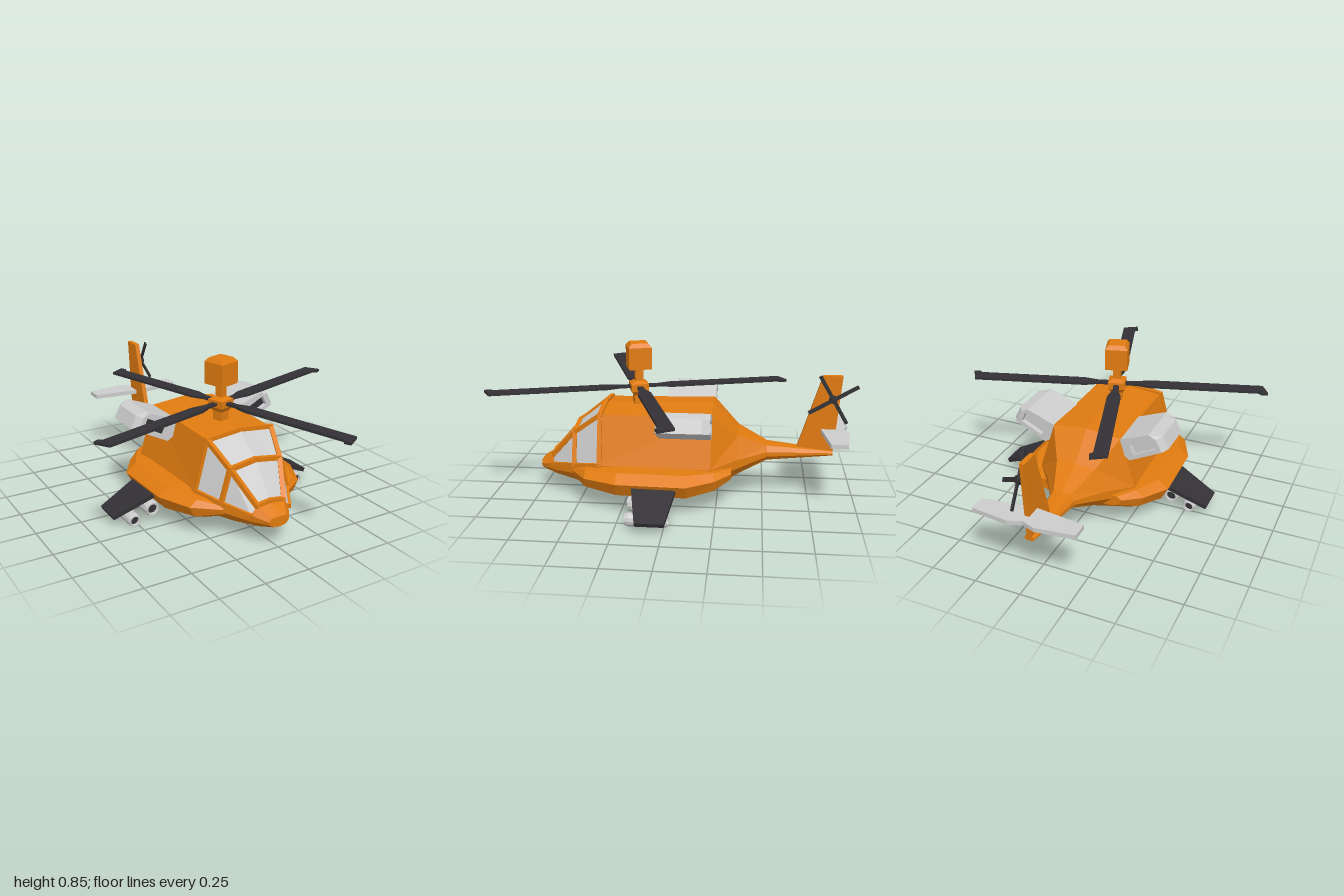
import * as THREE from 'three';

const mat = (color) => new THREE.MeshStandardMaterial({ color, flatShading: true });
const ORANGE = mat(0xe07b10), DARK = mat(0x333135), GREY = mat(0xcccccc);

function add(parent, name, geometry, material, x = 0, y = 0, z = 0) {
  const mesh = new THREE.Mesh(geometry, material);
  mesh.name = name;
  mesh.position.set(x, y, z);
  parent.add(mesh);
  return mesh;
}

// Skin between rings (front to back, each anticlockwise seen from +z); keep() picks the panels.
function loft(rings, keep = () => true, caps = true) {
  const pos = [], n = rings[0].length;
  const tri = (...pts) => pts.forEach((p) => pos.push(...p));
  for (let i = 0; i < rings.length - 1; i++) {
    for (let j = 0; j < n; j++) {
      if (!keep(i, j)) continue;
      const k = (j + 1) % n;
      const a = rings[i][j], b = rings[i][k], c = rings[i + 1][k], d = rings[i + 1][j];
      if (j < n / 2) { tri(a, d, c); tri(a, c, b); } else { tri(a, d, b); tri(d, c, b); }
    }
  }
  if (caps) {
    const f = rings[0], r = rings[rings.length - 1];
    for (let j = 1; j < n - 1; j++) { tri(f[0], f[j], f[j + 1]); tri(r[0], r[j + 1], r[j]); }
  }
  const g = new THREE.BufferGeometry();
  g.setAttribute('position', new THREE.Float32BufferAttribute(pos, 3));
  g.computeVertexNormals();
  return g;
}

const shape = (pts) => new THREE.Shape(pts.map(([x, y]) => new THREE.Vector2(x, y)));
const slab = (pts, depth) =>
  new THREE.ExtrudeGeometry(shape(pts), { depth, bevelEnabled: false }).translate(0, 0, -depth / 2);

// Square bar between two points
function bar(parent, name, a, b, width, material) {
  const p = new THREE.Vector3(...a), q = new THREE.Vector3(...b);
  const mesh = add(parent, name, new THREE.BoxGeometry(width, width, p.distanceTo(q) + width * 0.6), material);
  mesh.position.copy(p).lerp(q, 0.5);
  mesh.lookAt(q);
}

// Fuselage: half sections from belly to roof, [z, [x, y]...]
const SECTIONS = [
  [0.75, [0, 0.115], [0.035, 0.12], [0.055, 0.135], [0.06, 0.15], [0.045, 0.17], [0, 0.172]],
  [0.67, [0, 0.09], [0.07, 0.1], [0.11, 0.135], [0.115, 0.17], [0.08, 0.215], [0, 0.225]],
  [0.53, [0, 0.065], [0.12, 0.08], [0.2, 0.15], [0.2, 0.2], [0.15, 0.375], [0, 0.398]],
  [0.38, [0, 0.04], [0.17, 0.07], [0.265, 0.17], [0.265, 0.225], [0.195, 0.49], [0, 0.51]],
  [-0.22, [0, 0.04], [0.17, 0.07], [0.28, 0.17], [0.28, 0.225], [0.195, 0.5], [0, 0.52]],
  [-0.36, [0, 0.12], [0.1, 0.145], [0.17, 0.2], [0.17, 0.25], [0.11, 0.37], [0, 0.38]],
  [-0.52, [0, 0.21], [0.05, 0.215], [0.07, 0.24], [0.07, 0.265], [0.05, 0.297], [0, 0.302]],
  [-0.88, [0, 0.24], [0.018, 0.241], [0.025, 0.248], [0.025, 0.256], [0.018, 0.264], [0, 0.266]],
];

function buildFuselage(parent) {
  const rings = SECTIONS.map(([z, ...half]) => [
    ...half.map(([x, y]) => [x, y, z]),
    ...half.slice(1, -1).reverse().map(([x, y]) => [-x, y, z]),
  ]);
  const isGlass = (i, j) => (i === 1 || i === 2) && j >= 3 && j <= 6;
  add(parent, 'fuselage', loft(rings, (i, j) => !isGlass(i, j)), ORANGE);
  add(parent, 'cockpitGlass', loft(rings, isGlass, false), GREY);
  // Window frames: ring point 3 is the waist, 4 the roof edge, 5 the centre line
  for (const i of [1, 2, 3]) {
    for (const j of [3, 4, 5, 6]) {
      if (i === 1 && (j === 3 || j === 6)) continue;
      bar(parent, 'windowFrame', rings[i][j], rings[i][j + 1], 0.024, ORANGE);
    }
    if (i < 3) for (const j of [3, 4, 6, 7]) bar(parent, 'windowFrame', rings[i][j], rings[i + 1][j], 0.024, ORANGE);
  }
}

function buildSide(parent) {
  // Sponson along the lower side: [z, outer x, top, bottom]
  const sponson = [
    [0.54, 0.2, 0.185, 0.13], [0.45, 0.34, 0.215, 0.1], [0.27, 0.42, 0.23, 0.08],
    [-0.1, 0.43, 0.23, 0.08], [-0.24, 0.34, 0.225, 0.1], [-0.33, 0.25, 0.22, 0.15],
  ].map(([z, x, t, b]) => [
    [0.1, b, z], [0.1 + (x - 0.1) * 0.6, b, z], [0.1 + (x - 0.1) * 0.88, b + (t - b) * 0.18, z],
    [x, b + (t - b) * 0.66, z], [0.1 + (x - 0.1) * 0.82, t - 0.006, z], [0.1, t, z],
  ]);
  add(parent, 'sponson', loft(sponson), ORANGE);

  // Stub wing, drooping outwards
  const wing = add(parent, 'stubWing',
    slab([[-0.05, -0.065], [0.29, -0.01], [0.29, 0.14], [-0.05, 0.205]], 0.024).rotateX(Math.PI / 2),
    DARK, 0.36, 0.172, 0);
  wing.rotation.z = -0.43;

  // Rocket tubes under the wing
  const profile = [[0.026, 0.09], [0.028, 0.11], [0.036, 0.11], [0.042, 0.09], [0.042, -0.09], [0.036, -0.11], [0.028, -0.11], [0.026, -0.09]];
  for (const [x, y, s] of [[0.42, 0.08, 1], [0.525, 0.037, 0.86]]) {
    const tube = new THREE.LatheGeometry(profile.map(([r, h]) => new THREE.Vector2(r * s, h)).reverse(), 12);
    add(parent, 'rocketTube', tube.rotateX(Math.PI / 2), GREY, x, y, 0.09);
    add(parent, 'rocketCore', new THREE.CylinderGeometry(0.027 * s, 0.027 * s, 0.19, 12).rotateX(Math.PI / 2), DARK, x, y, 0.09);
  }

  // Engine pod with an open duct, its outer ends drawn in
  const outline = shape([[0.15, 0.45], [0.25, 0.385], [0.45, 0.48], [0.415, 0.548], [0.35, 0.56], [0.17, 0.49]]);
  outline.holes.push(new THREE.Path([[0.247, 0.475], [0.272, 0.422], [0.392, 0.482], [0.367, 0.535]].map((p) => new THREE.Vector2(...p))));
  const pod = new THREE.ExtrudeGeometry(outline, { depth: 0.28, steps: 7, bevelEnabled: false });
  const p = pod.attributes.position;
  for (let i = 0; i < p.count; i++) {
    const atEnd = p.getZ(i) < 0.01 || p.getZ(i) > 0.27;
    if (atEnd && p.getX(i) > 0.4) p.setXY(i, p.getX(i) - 0.025, p.getY(i) - 0.007);
  }
  pod.computeVertexNormals();
  add(parent, 'enginePod', pod, GREY, 0, 0, -0.223);
  for (const [name, z, m] of [['engineIntake', 0.02, DARK], ['engineExhaust', -0.185, GREY]]) {
    add(parent, name, new THREE.BoxGeometry(0.14, 0.064, 0.02), m, 0.32, 0.479, z).rotation.z = 0.464;
  }
}

function buildRotor(parent) {
  const rotor = new THREE.Group();
  rotor.name = 'mainRotor';
  rotor.position.set(0, 0, 0.195);
  parent.add(rotor);
  // Mast, hub and sensor box as one four-sided turned profile
  const mast = [[0, 0.49], [0.042, 0.49], [0.042, 0.56], [0.068, 0.585], [0.068, 0.625], [0.03, 0.64], [0.03, 0.705],
    [0.088, 0.71], [0.088, 0.83], [0.065, 0.852], [0, 0.855]].map((q) => new THREE.Vector2(...q));
  add(rotor, 'mast', new THREE.LatheGeometry(mast, 4).rotateY(Math.PI / 4 + 0.3), ORANGE);
  // Blades with a hooked tip
  const blade = slab([[0.04, -0.016], [0.11, -0.016], [0.18, -0.037], [0.815, -0.037], [0.84, 0.05],
    [0.805, 0.056], [0.79, 0.037], [0.19, 0.037], [0.11, 0.016], [0.04, 0.016]], 0.014).rotateX(Math.PI / 2);
  for (let i = 0; i < 4; i++) {
    add(rotor, 'rotorBlade', blade, DARK, 0, 0.606, 0).rotation.y = 0.3 + i * Math.PI / 2;
  }
}

function buildTail(parent) {
  // Fin drawn as (-z, y) and turned into the centre plane
  add(parent, 'tailFin', slab([[0.68, 0.27], [0.88, 0.25], [0.915, 0.69], [0.81, 0.69]], 0.026).rotateY(Math.PI / 2), ORANGE);
  add(parent, 'stabilizer', slab([[0, -0.81], [0.275, -0.845], [0.275, -0.935], [0.07, -0.96], [0, -0.935],
    [-0.07, -0.96], [-0.275, -0.935], [-0.275, -0.845]].reverse(), 0.024).rotateX(Math.PI / 2), GREY, 0, 0.378, 0);
  const rotor = new THREE.Group();
  rotor.name = 'tailRotor';
  rotor.position.set(0.05, 0.567, -0.866);
  rotor.rotation.x = 0.53;
  parent.add(rotor);
  add(rotor, 'tailRotorHub', new THREE.CylinderGeometry(0.018, 0.024, 0.03, 8).rotateZ(-Math.PI / 2), DARK);
  add(rotor, 'tailRotorShaft', new THREE.CylinderGeometry(0.01, 0.01, 0.06, 8).rotateZ(Math.PI / 2), DARK, -0.03);
  for (let i = 0; i < 2; i++) {
    add(rotor, 'tailRotorBlades', new THREE.BoxGeometry(0.009, 0.3, 0.02), DARK).rotation.x = i * Math.PI / 2;
  }
}

export function createModel() {
  const model = new THREE.Group();
  model.name = 'helicopter';
  buildFuselage(model);
  for (const [name, s] of [['leftSide', 1], ['rightSide', -1]]) {
    const side = new THREE.Group();
    side.name = name;
    side.scale.x = s;
    buildSide(side);
    model.add(side);
  }
  buildRotor(model);
  buildTail(model);
  return model;
}
